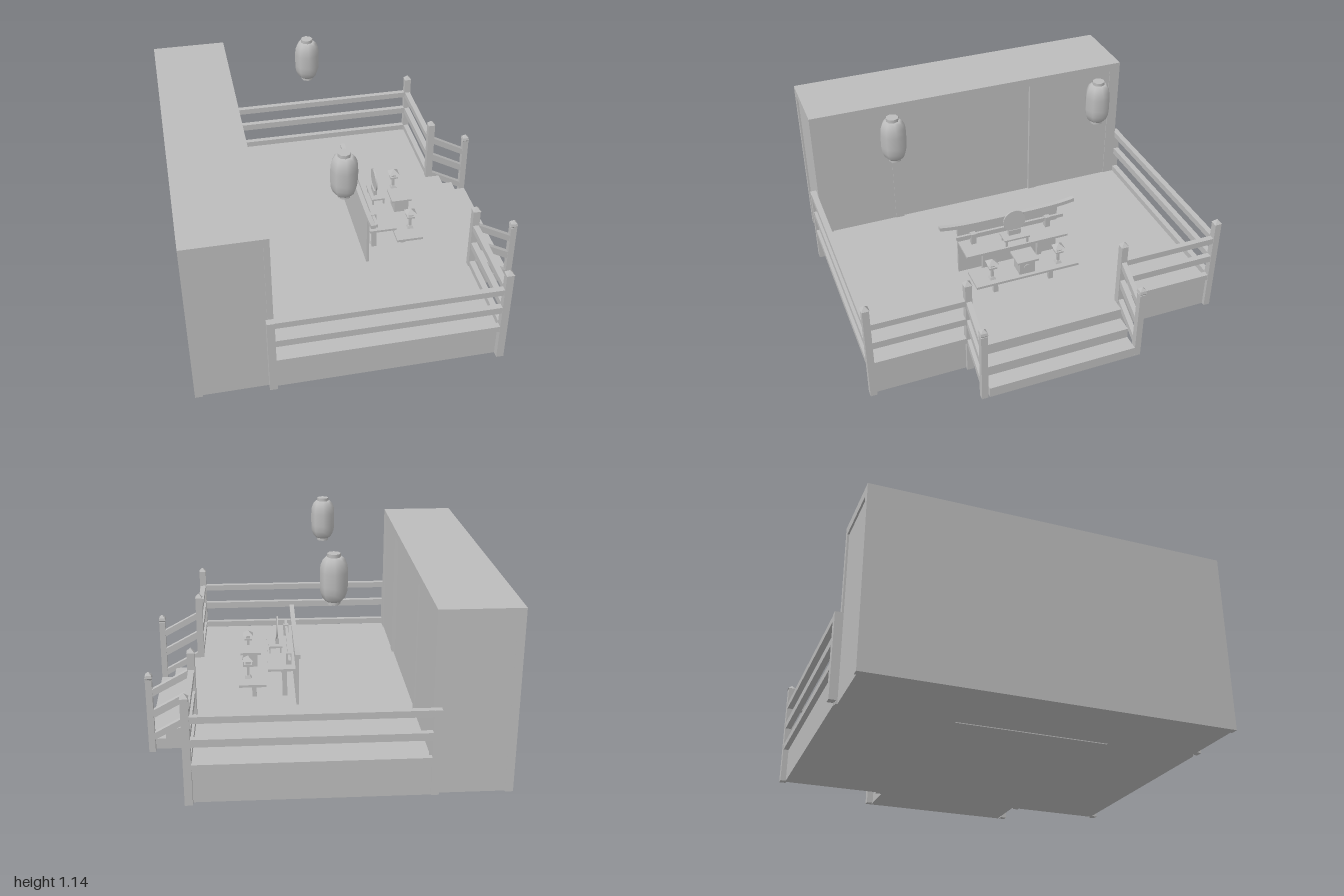
import * as THREE from 'three';

const grey = new THREE.MeshStandardMaterial({ color: 0xbcbcbc });
grey.name = 'plain grey';

export function createModel() {
  const root = new THREE.Group();
  root.name = 'shrineStage';

  const add = (name, geo, x = 0, y = 0, z = 0, parent = root) => {
    const m = new THREE.Mesh(geo, grey);
    m.name = name;
    m.position.set(x, y, z);
    parent.add(m);
    return m;
  };
  // Box given by its limits on each axis
  const box = (name, x0, x1, y0, y1, z0, z1, parent = root) =>
    add(name, new THREE.BoxGeometry(x1 - x0, y1 - y0, z1 - z0), (x0 + x1) / 2, (y0 + y1) / 2, (z0 + z1) / 2, parent);
  // Four-sided frustum with flat faces, square to the axes
  const pyramid = (name, half, topHalf, h, x, y, z, parent = root) => {
    const g = new THREE.CylinderGeometry(topHalf * Math.SQRT2, half * Math.SQRT2, h, 4).rotateY(Math.PI / 4).toNonIndexed();
    g.computeVertexNormals();
    return add(name, g, x, y + h / 2, z, parent);
  };
  const extrude = (points, depth) =>
    new THREE.ExtrudeGeometry(new THREE.Shape(points.map(([a, b]) => new THREE.Vector2(a, b))), { depth, bevelEnabled: false });

  // Floor and front steps
  box('platform', -0.52, 0.68, 0, 0.185, -0.97, 0.965);
  const steps = [[0.66, 0], [0.925, 0], [0.925, 0.06], [0.835, 0.06], [0.835, 0.12], [0.745, 0.12], [0.745, 0.185], [0.66, 0.185]];
  add('steps', extrude(steps, 0.83), 0, 0, -0.4);

  // Back hall: core with a raised frame around its panels
  const hall = new THREE.Group();
  hall.name = 'backHall';
  root.add(hall);
  box('hallCore', -0.93, -0.53, 0, 0.975, -0.955, 0.95, hall);
  box('hallRoof', -0.93, -0.51, 0.925, 0.975, -0.965, 0.96, hall);
  for (const [z0, z1] of [[-0.965, -0.9], [-0.42, -0.37], [0.455, 0.505], [0.895, 0.96]])
    box('hallPost', -0.54, -0.51, 0, 0.94, z0, z1, hall);
  box('sidePanel', -0.54, -0.515, 0, 0.94, -0.92, -0.4, hall);
  box('sidePanel', -0.54, -0.515, 0, 0.94, 0.48, 0.92, hall);
  for (const [z0, z1] of [[-0.965, -0.91], [0.905, 0.96]])
    box('rearPost', -0.93, -0.89, 0, 0.94, z0, z1, hall);

  // Railings
  const railLevels = [[0.185, 0.22], [0.315, 0.355], [0.44, 0.475]];
  for (const s of [-1, 1]) {
    const zs = s * 0.982;
    const zi = s < 0 ? -0.418 : 0.455;
    box('backRailPost', -0.55, -0.51, 0.015, 0.475, zs - 0.018, zs + 0.018);
    for (const z of [zs, zi]) {
      box('frontRailPost', 0.66, 0.7, 0, 0.57, z - 0.018, z + 0.018);
      pyramid('postCap', 0.021, 0, 0.025, 0.68, 0.57, z);
    }
    for (const [y0, y1] of railLevels) {
      box('sideRail', -0.53, 0.67, y0, y1, zs - 0.016, zs + 0.016);
      box('frontRail', 0.664, 0.696, y0, y1, Math.min(zs, zi), Math.max(zs, zi));
    }
    // Handrails sloping down the steps
    for (const [y0, y1] of railLevels) {
      const slope = extrude([[0.69, y0 - 0.005], [0.9, y0 - 0.12], [0.9, y1 - 0.115], [0.69, y1]], 0.028);
      add('stepRail', slope, 0, 0, zi - 0.014);
    }
    box('stepPost', 0.89, 0.925, 0, 0.42, zi - 0.0175, zi + 0.0175);
    pyramid('stepCap', 0.013, 0.02, 0.012, 0.907, 0.418, zi);
    pyramid('stepCap', 0.02, 0.017, 0.016, 0.907, 0.43, zi);
    pyramid('stepCap', 0.017, 0.004, 0.014, 0.907, 0.446, zi);
  }

  // Hanging paper lanterns
  const lanternProfile = [[0, 0.9], [0.042, 0.9], [0.056, 0.915], [0.067, 0.945], [0.07, 0.98], [0.07, 1.05], [0.067, 1.085],
    [0.056, 1.113], [0.042, 1.127], [0, 1.127]].map(([r, y]) => new THREE.Vector2(r, y));
  for (const [x, z] of [[-0.055, -0.59], [-0.083, 0.59]]) {
    add('lanternBody', new THREE.LatheGeometry(lanternProfile, 8), x, 0, z);
    for (const y of [0.895, 1.133])
      add('lanternRing', new THREE.CylinderGeometry(0.034, 0.034, 0.024, 8), x, y, z);
  }

  // Altar, built about its own centre line
  const altar = new THREE.Group();
  altar.name = 'altar';
  altar.position.z = 0.018;
  root.add(altar);
  box('screen', 0.107, 0.122, 0.185, 0.485, -0.3, 0.3, altar);
  // Screen beam with ends swept upward
  const beam = new THREE.BoxGeometry(0.026, 0.022, 0.805, 1, 1, 16);
  const p = beam.attributes.position;
  for (let i = 0; i < p.count; i++) p.setY(i, p.getY(i) + 0.018 * Math.pow(Math.abs(p.getZ(i)) / 0.4, 4));
  beam.computeVertexNormals();
  add('screenBeam', beam, 0.117, 0.495, 0, altar);
  box('lowerBeam', 0.15, 0.165, 0.44, 0.46, -0.32, 0.32, altar);

  // Upper and lower tables
  box('upperTable', 0.125, 0.275, 0.387, 0.4, -0.3, 0.3, altar);
  box('lowerTable', 0.285, 0.435, 0.296, 0.31, -0.3, 0.3, altar);
  box('lowerTableBar', 0.345, 0.36, 0.24, 0.265, -0.165, 0.165, altar);
  for (const s of [-1, 1]) {
    box('beamBlock', 0.145, 0.175, 0.395, 0.465, s * 0.222 - 0.015, s * 0.222 + 0.015, altar);
    box('upperTableLeg', 0.168, 0.195, 0.185, 0.39, s * 0.165 - 0.013, s * 0.165 + 0.013, altar);
    box('lowerTableLeg', 0.34, 0.365, 0.185, 0.3, s * 0.165 - 0.013, s * 0.165 + 0.013, altar);
    // Small standing lamp
    const z = s * 0.195;
    pyramid('lampBase', 0.018, 0.012, 0.015, 0.385, 0.31, z, altar);
    box('lampStem', 0.378, 0.392, 0.32, 0.395, z - 0.007, z + 0.007, altar);
    box('lampPlate', 0.363, 0.407, 0.385, 0.395, z - 0.022, z + 0.022, altar);
    box('lampHouse', 0.372, 0.398, 0.395, 0.418, z - 0.013, z + 0.013, altar);
    pyramid('lampRoof', 0.03, 0.003, 0.024, 0.385, 0.416, z, altar);
    // Mirror stand legs
    for (const x of [0.198, 0.26])
      box('mirrorStandLeg', x - 0.004, x + 0.004, 0.4, 0.435, s * 0.062 - 0.006, s * 0.062 + 0.006, altar);
  }

  // Round mirror on its stand
  box('mirrorStand', 0.188, 0.266, 0.433, 0.443, -0.075, 0.075, altar);
  box('mirrorFoot', 0.208, 0.228, 0.443, 0.475, -0.035, 0.035, altar);
  const mirror = add('mirror', new THREE.CylinderGeometry(0.065, 0.065, 0.008, 24), 0.217, 0.53, 0, altar);
  mirror.rotation.z = Math.PI / 2 + 0.05;

  // Offering stand with tray and round opening
  box('offeringStand', 0.332, 0.415, 0.31, 0.392, -0.045, 0.045, altar);
  box('offeringTray', 0.312, 0.428, 0.39, 0.402, -0.062, 0.062, altar);
  const disc = add('standDisc', new THREE.CylinderGeometry(0.02, 0.02, 0.006, 16), 0.416, 0.352, 0, altar);
  disc.rotation.z = Math.PI / 2;

  return root;
}
